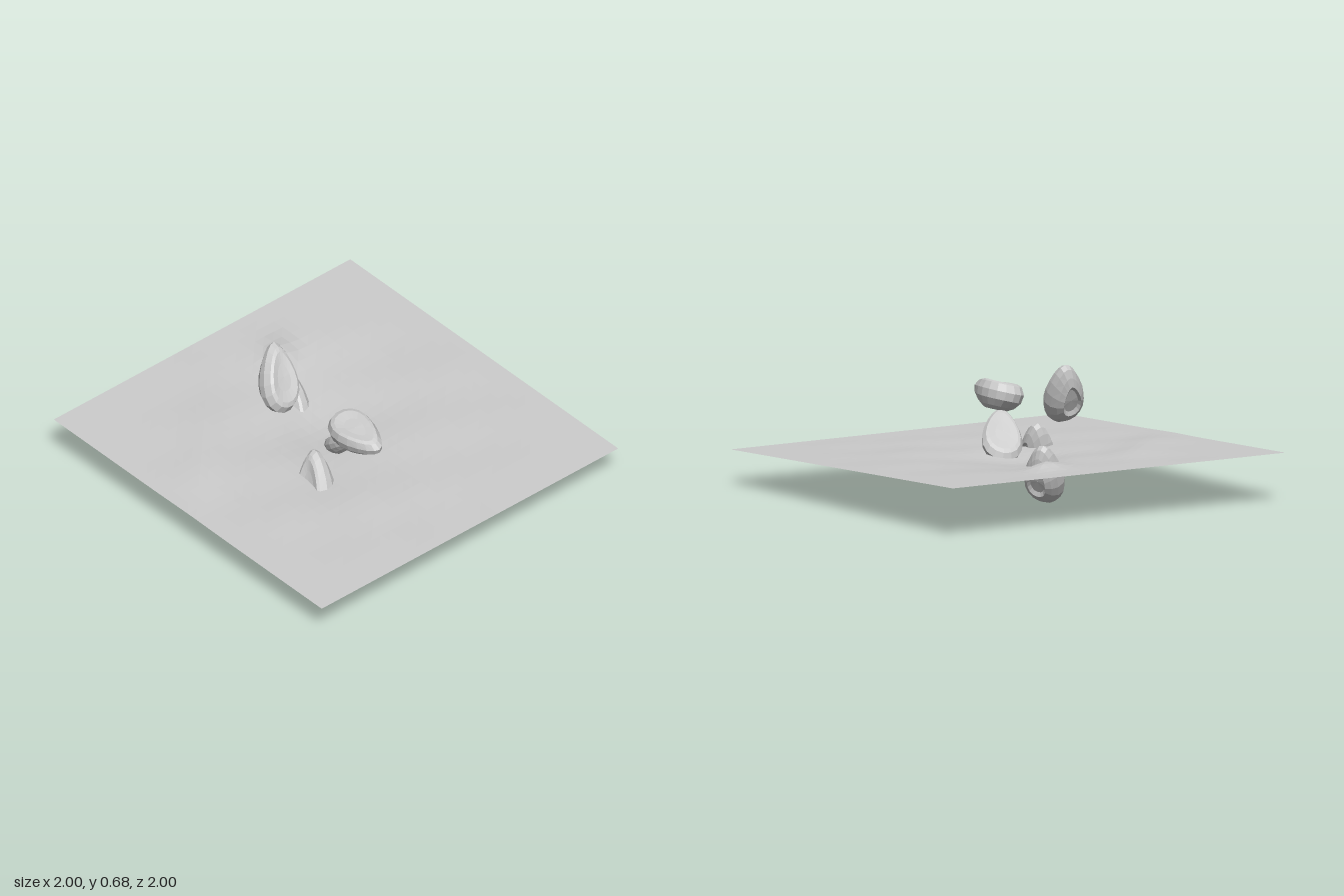
import * as THREE from 'three';

const material = new THREE.MeshStandardMaterial({ color: 0xcccccc, flatShading: true, side: THREE.DoubleSide });

// Teardrop pod: tip along +y, flattish face +z, rounded back -z with an oval dent
function podGeometry() {
  const sides = 18;
  // [height along z, outline scale]
  const layers = [[0.048, 0.01], [0.05, 0.4], [0.058, 0.72], [0.05, 0.86], [0.012, 1], [-0.03, 0.95],
    [-0.065, 0.75], [-0.085, 0.5], [-0.072, 0.38], [-0.07, 0.01]];
  const pos = [], index = [];
  layers.forEach(([z, s]) => {
    for (let j = 0; j < sides; j++) {
      const t = (j / sides) * Math.PI * 2, c = Math.cos(t);
      const x = 0.1 * s * Math.sin(t) * (1 - 0.32 * c);
      const y = 0.18 * s * c;
      // the face dips toward the tip
      pos.push(x, y, z * (1 - 0.35 * Math.max(0, y / 0.18)));
    }
  });
  for (let i = 0; i < layers.length - 1; i++) {
    for (let j = 0; j < sides; j++) {
      const k = (j + 1) % sides;
      const a = i * sides + j, c = i * sides + k, b = a + sides, d = c + sides;
      index.push(a, c, b, c, d, b);
    }
  }
  const g = new THREE.BufferGeometry();
  g.setAttribute('position', new THREE.Float32BufferAttribute(pos, 3));
  g.setIndex(index);
  g.computeVertexNormals();
  return g;
}

// Sheet height: gentle tilt, diagonal ripples, central hollow and a small mound
function groundHeight(x, z) {
  const blob = (cx, cz, along, across) => {
    const u = (x - cx - (z - cz)) * Math.SQRT1_2, v = (x - cx + (z - cz)) * Math.SQRT1_2;
    return Math.exp(-((u / along) ** 2) - ((v / across) ** 2));
  };
  const fade = Math.max(0, 1 - x * x) * Math.max(0, 1 - z * z);
  const ripple = 0.004 * Math.sin(9 * (x + z) + 2 * Math.sin(3 * x)) + 0.003 * Math.sin(13 * z - 5 * x);
  return 0.217 - 0.037 * z + ripple * fade
    - 0.045 * blob(0.05, -0.15, 0.42, 0.25)
    + 0.035 * blob(0.2, -0.64, 0.14, 0.08)
    + 0.015 * blob(-0.62, -0.3, 0.4, 0.12);
}

function groundSheet() {
  const g = new THREE.PlaneGeometry(2, 2, 32, 32).rotateX(-Math.PI / 2);
  const p = g.attributes.position;
  for (let i = 0; i < p.count; i++) p.setY(i, groundHeight(p.getX(i), p.getZ(i)));
  g.computeVertexNormals();
  const mesh = new THREE.Mesh(g, material);
  mesh.name = 'groundSheet';
  return mesh;
}

export function createModel() {
  const model = new THREE.Group();
  model.name = 'scatteredPods';
  model.add(groundSheet());

  // Pods: centre, direction of the tip, direction of the flat face, thickness
  const pods = [
    ['highPod', [-0.18, 0.53, -0.235], [0.25, 0.78, -0.46], [0.05, 0.5, 0.83], 1],
    ['levelPod', [-0.14, 0.462, 0.315], [-0.06, 0, 1], [-0.25, 1, 0], 1],
    ['leaningPod', [-0.05, 0.275, 0.13], [-0.16, 0.22, 0.25], [0.15, 0.75, -0.6], 0.65],
    ['sunkenFrontPod', [-0.315, 0.165, 0.195], [0.33, 0.8, -0.4], [-0.9, 0.4, -0.1], 1],
    ['sunkenBackPod', [0.03, 0.158, -0.37], [0.33, 0.8, -0.42], [-0.75, 0.45, 0.31], 1],
  ];
  const geometry = podGeometry();
  for (const [name, centre, tip, face, thickness] of pods) {
    const y = new THREE.Vector3(...tip).normalize();
    const x = y.clone().cross(new THREE.Vector3(...face)).normalize();
    const z = x.clone().cross(y);
    const pod = new THREE.Mesh(geometry, material);
    pod.name = name;
    pod.quaternion.setFromRotationMatrix(new THREE.Matrix4().makeBasis(x, y, z));
    pod.position.set(...centre);
    pod.scale.z = thickness;
    model.add(pod);
  }
  return model;
}
